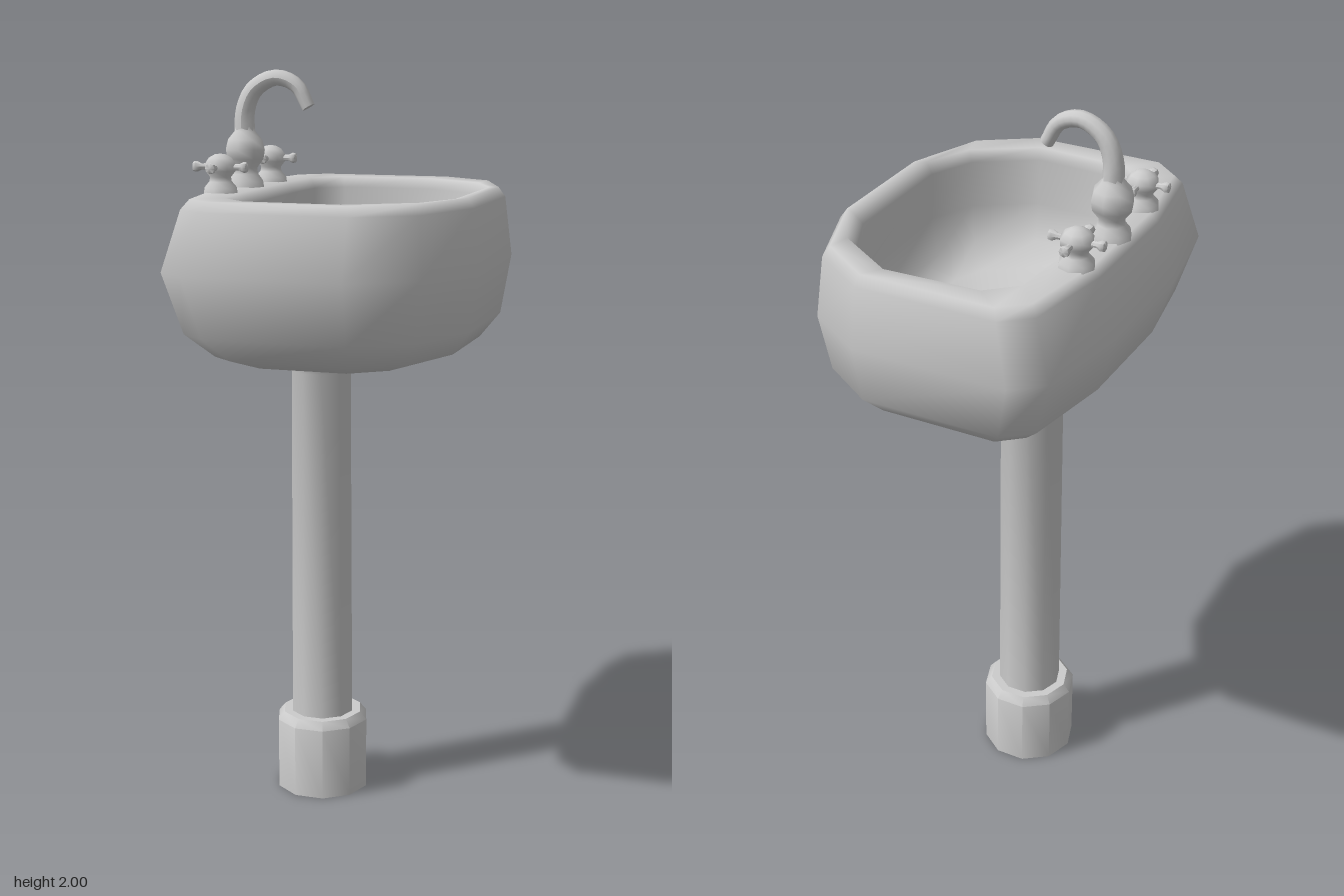
import * as THREE from 'three';
import { toCreasedNormals } from 'three/addons/utils/BufferGeometryUtils.js';

const material = new THREE.MeshStandardMaterial({ color: 0xcccccc });

function add(parent, name, geometry, x = 0, y = 0, z = 0) {
  const mesh = new THREE.Mesh(geometry, material);
  mesh.name = name;
  mesh.position.set(x, y, z);
  parent.add(mesh);
  return mesh;
}

function lathe(profile, sides, crease = 0.9) {
  const points = profile.map(([r, y]) => new THREE.Vector2(r, y));
  return toCreasedNormals(new THREE.LatheGeometry(points, sides, Math.PI / 2), crease);
}

// Half outlines in unit form: x runs 0 (back rim) to 1, z runs 0 to 1; mirrored in z
const outerHalf = [[0, 0.35], [0.057, 0.874], [0.157, 1], [0.679, 1], [0.887, 0.796], [1, 0.359]];
const innerHalf = [[0, 0.43], [0.019, 0.81], [0.151, 0.975], [0.604, 1], [0.896, 0.747], [1, 0.443]];
const mirrored = (half) => [...half, ...half.map(([u, w]) => [u, -w]).reverse()];

// Bowl cross-sections, from underside over the rim to the floor: x min, x max, half depth, y
const outerRings = [
  [-0.2, 0.24, 0.35, 1.262], [-0.285, 0.32, 0.41, 1.288], [-0.35, 0.37, 0.48, 1.352],
  [-0.4, 0.395, 0.515, 1.51], [-0.35, 0.377, 0.488, 1.665], [-0.33, 0.36, 0.468, 1.69],
];
const innerRings = [
  [-0.238, 0.33, 0.415, 1.688], [-0.22, 0.31, 0.395, 1.66], [-0.224, 0.314, 0.399, 1.53],
  [-0.2, 0.29, 0.37, 1.43], [-0.13, 0.22, 0.29, 1.385],
];

function basinGeometry() {
  const positions = [];
  const index = [];
  const addRing = (outline, [x0, x1, d, y]) => {
    for (const [u, w] of outline) positions.push(x0 + u * (x1 - x0), y, w * d);
  };
  outerRings.forEach((r) => addRing(mirrored(outerHalf), r));
  innerRings.forEach((r) => addRing(mirrored(innerHalf), r));
  const n = 12;
  const rings = outerRings.length + innerRings.length;
  const under = rings * n;
  positions.push(0.02, 1.26, 0, 0.045, 1.378, 0);
  for (let j = 0; j < n; j++) {
    const k = (j + 1) % n;
    for (let i = 0; i < rings - 1; i++) {
      const a = i * n + j, b = i * n + k;
      index.push(a, b, b + n, a, b + n, a + n);
    }
    const last = (rings - 1) * n;
    index.push(under, k, j, last + j, last + k, under + 1);
  }
  const g = new THREE.BufferGeometry();
  g.setAttribute('position', new THREE.Float32BufferAttribute(positions, 3));
  g.setIndex(index);
  g.computeVertexNormals();
  return g;
}

// Curved spout that narrows towards its mouth
function spoutGeometry() {
  const curve = new THREE.CatmullRomCurve3([
    [-0.298, 1.82], [-0.296, 1.89], [-0.27, 1.945], [-0.21, 1.976], [-0.152, 1.957], [-0.118, 1.9],
  ].map(([x, y]) => new THREE.Vector3(x, y, 0)));
  const segments = 18, sides = 10;
  const g = new THREE.TubeGeometry(curve, segments, 0.028, sides);
  const p = g.attributes.position;
  const v = new THREE.Vector3();
  for (let i = 0; i < p.count; i++) {
    const t = Math.floor(i / (sides + 1)) / segments;
    const c = curve.getPointAt(t);
    v.fromBufferAttribute(p, i).sub(c).multiplyScalar(1 - 0.36 * t).add(c);
    p.setXYZ(i, v.x, v.y, v.z);
  }
  g.computeVertexNormals();
  return { geometry: g, mouth: curve.getPointAt(1), direction: curve.getTangentAt(1) };
}

// Tap with four flared spokes
function createTap(name) {
  const tap = new THREE.Group();
  tap.name = name;
  add(tap, 'tapBody', lathe([[0.047, 0], [0.045, 0.014], [0.031, 0.03], [0.029, 0.042],
    [0.042, 0.058], [0.043, 0.074], [0.032, 0.09], [0.015, 0.099], [0, 0.101]], 8, 1.2));
  const spoke = lathe([[0.009, 0.025], [0.008, 0.052], [0.014, 0.064], [0.013, 0.073], [0, 0.077]], 8, 1.2);
  for (let i = 0; i < 4; i++) {
    const arm = add(tap, 'tapSpoke', spoke, 0, 0.067, 0);
    arm.rotation.set(0, i * Math.PI / 2, -Math.PI / 2);
  }
  return tap;
}

export function createModel() {
  const model = new THREE.Group();
  model.name = 'pedestalSink';

  // Pedestal: wide foot, slim column and flared collar
  add(model, 'pedestalFoot', lathe([[0, 0], [0.13, 0], [0.13, 0.2], [0.112, 0.222], [0.08, 0.222]], 10, 0.75), -0.085);
  add(model, 'pedestalColumn', lathe([[0.088, 0.215], [0.084, 1.2], [0.095, 1.235], [0.116, 1.265]], 10), -0.085);

  // Bowl and drain
  add(model, 'basin', basinGeometry());
  add(model, 'drain', new THREE.CylinderGeometry(0.037, 0.037, 0.006, 8), -0.045, 1.382, 0);

  // Faucet
  add(model, 'faucetBody', lathe([[0.053, 0], [0.05, 0.018], [0.036, 0.036], [0.034, 0.052],
    [0.052, 0.076], [0.056, 0.1], [0.049, 0.126], [0.03, 0.148], [0.026, 0.16]], 8, 1.2), -0.298, 1.687, 0);
  const { geometry, mouth, direction } = spoutGeometry();
  add(model, 'spout', geometry);
  const cap = add(model, 'spoutMouth', new THREE.CircleGeometry(0.018, 10), mouth.x, mouth.y, mouth.z);
  cap.quaternion.setFromUnitVectors(new THREE.Vector3(0, 0, 1), direction);

  // Taps
  for (const [name, z] of [['leftTap', 0.193], ['rightTap', -0.185]]) {
    const tap = createTap(name);
    tap.position.set(-0.293, 1.687, z);
    model.add(tap);
  }
  return model;
}
